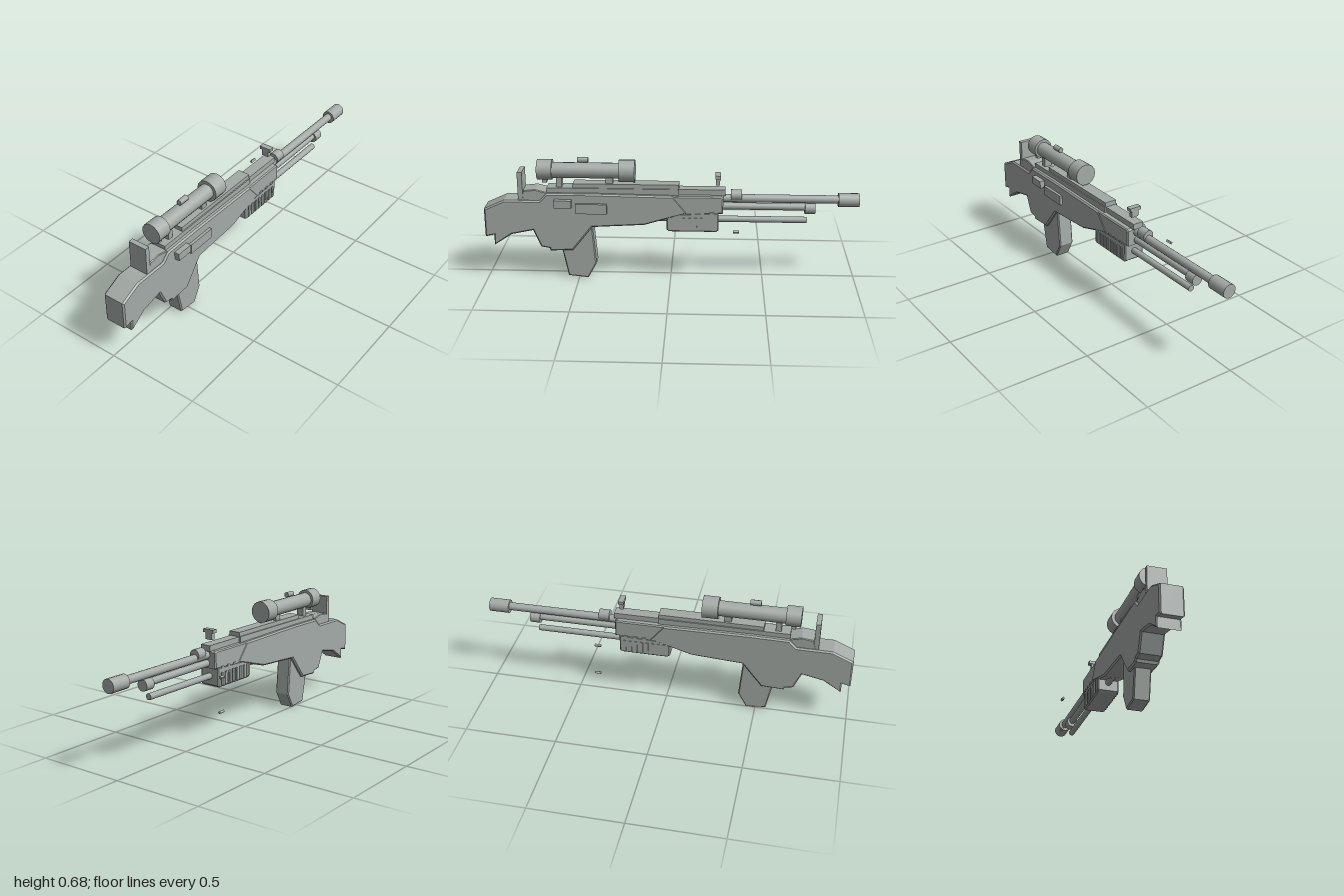
import * as THREE from 'three';

const CX = 0.037; // centre plane of the rifle

export function createModel() {
  const group = new THREE.Group();
  const grey = new THREE.MeshStandardMaterial({ color: 0xa4aba7 });
  grey.name = 'grey';

  function add(name, geometry) {
    const mesh = new THREE.Mesh(geometry, grey);
    mesh.name = name;
    group.add(mesh);
    return mesh;
  }

  // side profile of [z, y] points, extruded across x
  function profile(name, points, width, bevel = 0.008, cx = CX) {
    const shape = new THREE.Shape(points.map(([z, y]) => new THREE.Vector2(z, y)));
    const g = new THREE.ExtrudeGeometry(shape, {
      depth: width - 2 * bevel, bevelEnabled: bevel > 0, bevelSegments: 1,
      bevelSize: bevel, bevelThickness: bevel, bevelOffset: -bevel,
    });
    g.rotateY(-Math.PI / 2);
    g.translate(cx + width / 2 - bevel, 0, 0);
    return add(name, g);
  }

  // box given by its limits
  function box(name, x0, x1, y0, y1, z0, z1) {
    const g = new THREE.BoxGeometry(x1 - x0, y1 - y0, z1 - z0);
    g.translate((x0 + x1) / 2, (y0 + y1) / 2, (z0 + z1) / 2);
    return add(name, g);
  }

  // cylinder along z
  function tube(name, r, y, z0, z1, sides = 16) {
    const g = new THREE.CylinderGeometry(r, r, z1 - z0, sides);
    g.rotateX(Math.PI / 2);
    g.translate(CX, y, (z0 + z1) / 2);
    return add(name, g);
  }

  // stock, grip and receiver in one outline
  profile('stockAndReceiver', [
    [1, 0.245], [0.953, 0.255], [0.953, 0.197], [0.857, 0.26], [0.74, 0.285],
    [0.7, 0.19], [0.655, 0.182], [0.65, 0.167], [0.527, 0.173], [0.42, 0.308], [0.14, 0.325],
    [-0.09, 0.395], [-0.015, 0.49], [0.45, 0.497], [0.66, 0.495],
    [0.7, 0.455], [0.89, 0.455], [1, 0.405],
  ], 0.125);
  profile('cheekRest', [[0.66, 0.45], [0.66, 0.5], [0.72, 0.515], [0.785, 0.508], [0.8, 0.45]], 0.104, 0.004);
  box('rearPlate', -0.014, 0.09, 0.45, 0.61, 0.787, 0.813);

  // front receiver and handguard
  profile('frontReceiver', [
    [0.14, 0.36], [-0.08, 0.385], [-0.28, 0.395], [-0.28, 0.482], [-0.27, 0.49], [0.14, 0.49],
  ], 0.118, 0.006);
  profile('handguard', [
    [0.022, 0.3], [0.005, 0.29], [-0.245, 0.29], [-0.257, 0.3], [-0.257, 0.4], [0.022, 0.39],
  ], 0.118, 0.006);
  for (const side of [-1, 1]) {
    const x = CX + side * 0.059;
    for (let i = 0; i < 8; i++) {
      const z = -0.01 - i * 0.031;
      box('handguardRib', x - 0.005, x + 0.005, 0.3, 0.37, z - 0.007, z + 0.007);
    }
    for (let i = 0; i < 3; i++) {
      const z = -0.12 - i * 0.05;
      box('handguardStud', x - 0.004, x + 0.004, 0.392, 0.403, z - 0.011, z + 0.011);
    }
  }

  profile('magazine', [
    [0.59, 0.175], [0.558, 0.015], [0.45, 0.004], [0.403, 0.09], [0.42, 0.3], [0.5, 0.32],
  ], 0.088, 0.006);

  // top rails
  box('mainRail', -0.003, 0.077, 0.488, 0.522, -0.045, 0.66);
  box('upperRail', 0.003, 0.071, 0.52, 0.545, -0.045, 0.52);
  box('frontRail', 0.007, 0.067, 0.488, 0.52, -0.29, 0.12);

  // scope
  tube('scopeTube', 0.042, 0.61, 0.2, 0.7);
  tube('scopeEyepiece', 0.055, 0.613, 0.63, 0.71);
  tube('scopeObjective', 0.06, 0.61, 0.19, 0.275);
  box('scopeRearMount', 0.015, 0.059, 0.49, 0.6, 0.58, 0.61);
  box('scopeFrontMount', 0.015, 0.059, 0.53, 0.59, 0.307, 0.345);
  box('scopeTail', 0.015, 0.059, 0.545, 0.575, 0.66, 0.685);
  const knob = new THREE.CylinderGeometry(0.015, 0.015, 0.058, 8);
  knob.rotateX(Math.PI / 2);
  knob.translate(CX, 0.669, 0.467);
  add('scopeKnob', knob);

  // barrel and the two tubes under it
  tube('barrel', 0.022, 0.465, -0.92, -0.2);
  tube('muzzle', 0.037, 0.463, -1, -0.89);
  tube('barrelCollar', 0.03, 0.483, -0.378, -0.32);
  tube('gasTube', 0.019, 0.42, -0.74, -0.2);
  tube('gasTubeCap', 0.031, 0.414, -0.77, -0.715);
  tube('lowerRod', 0.017, 0.346, -0.728, 0.13);

  // front sight
  box('frontSightStem', 0.017, 0.057, 0.543, 0.582, -0.262, -0.24);
  box('frontSightCap', 0.004, 0.07, 0.58, 0.598, -0.266, -0.236);

  // bolt parts on the left side
  box('boltHandle', 0.09, 0.128, 0.425, 0.467, 0.525, 0.617);
  box('ejectionCover', 0.09, 0.115, 0.39, 0.445, 0.338, 0.505);

  // two small loose pins
  for (const [y, turn, z] of [[0.388, 0.6, -0.35], [0.205, -0.6, -0.357]]) {
    const pin = add('loosePin', new THREE.BoxGeometry(0.012, 0.012, 0.034));
    pin.position.set(-0.121, y, z);
    pin.rotation.z = turn;
  }

  return group;
}
